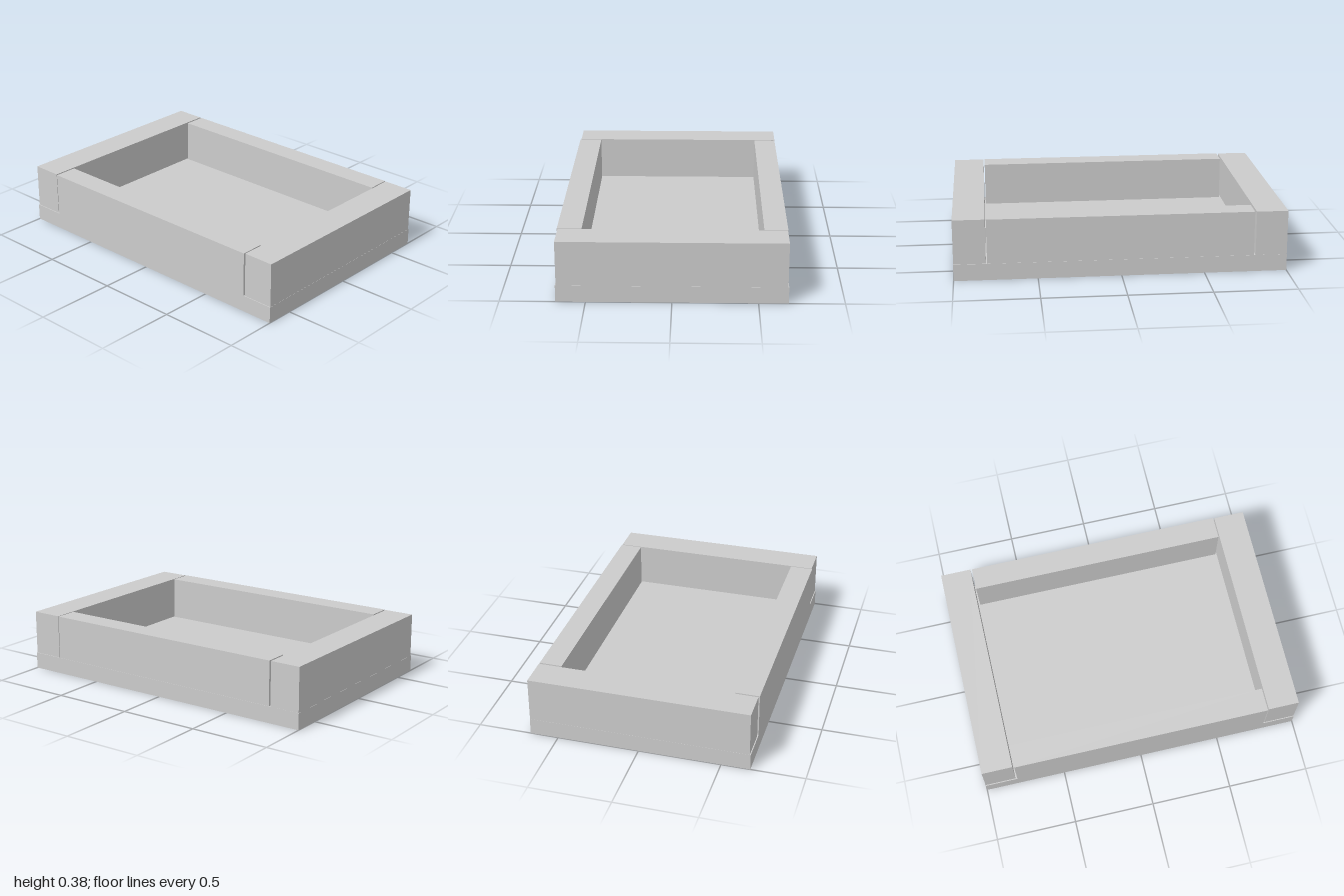
import * as THREE from 'three';

const material = new THREE.MeshStandardMaterial({ color: 0xcccccc });

// Box given by its minimum and maximum on each axis
function block(name, [x0, x1], [y0, y1], [z0, z1]) {
  const mesh = new THREE.Mesh(new THREE.BoxGeometry(x1 - x0, y1 - y0, z1 - z0), material);
  mesh.name = name;
  mesh.position.set((x0 + x1) / 2, (y0 + y1) / 2, (z0 + z1) / 2);
  return mesh;
}

export function createModel() {
  const group = new THREE.Group();
  group.name = 'tray';
  const wall = [0.102, 0.375];

  // Floor slab
  group.add(block('base', [-1, 1], [0, 0.102], [-0.674, 0.674]));

  // Long walls, stopping just short of the side walls
  group.add(block('frontWall', [-0.798, 0.8], wall, [0.529, 0.674]));
  group.add(block('backWall', [-0.798, 0.8], wall, [-0.672, -0.533]));

  // Full-depth side walls, set in slightly from the base edge
  group.add(block('leftWall', [0.807, 0.999], wall, [-0.669, 0.669]));
  group.add(block('rightWall', [-0.999, -0.809], wall, [-0.673, 0.668]));

  return group;
}
